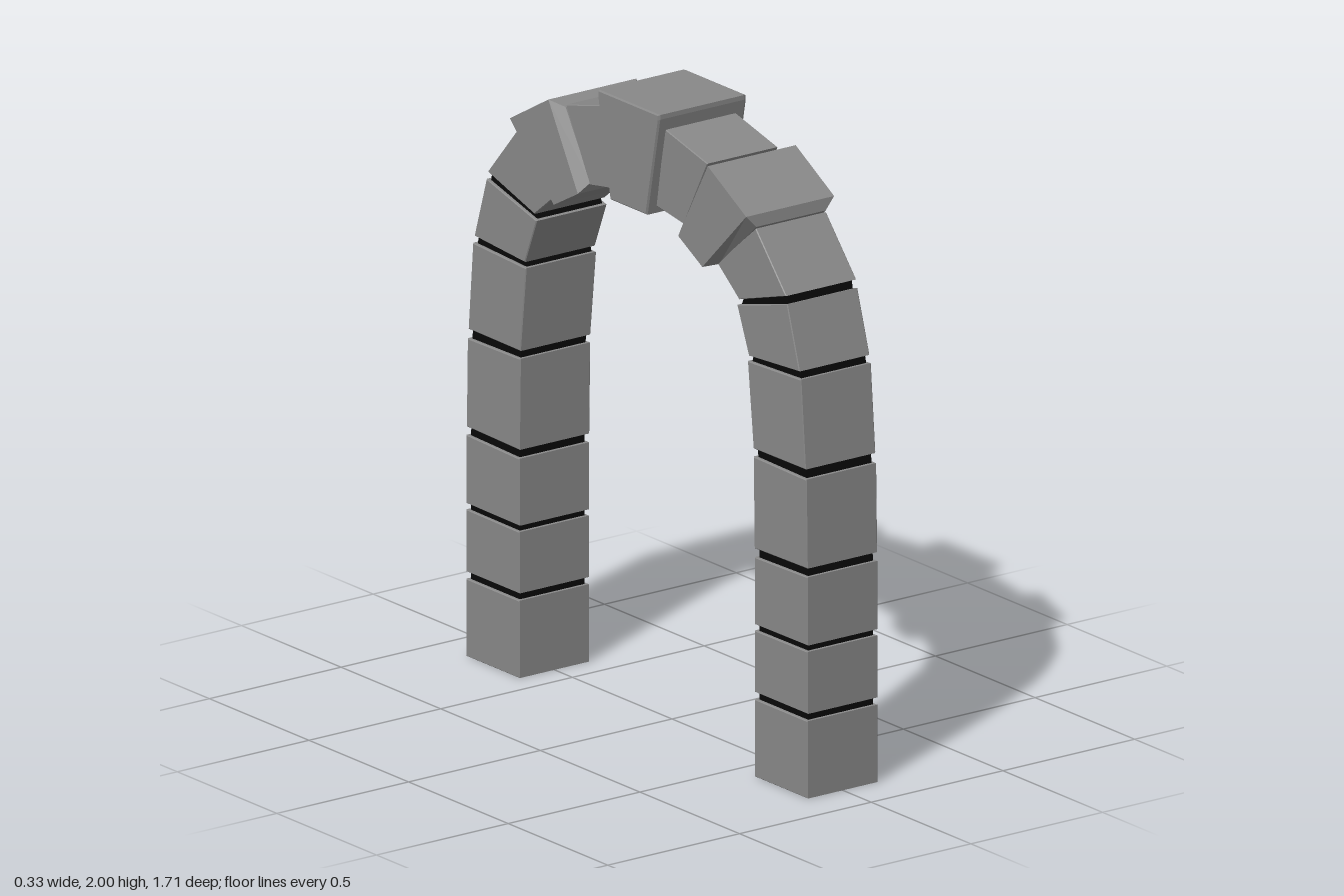
import * as THREE from 'three';

const stone = new THREE.MeshStandardMaterial({ color: 0x888888, flatShading: true });
const dark = new THREE.MeshStandardMaterial({ color: 0x080808, flatShading: true });

const centre = (pts) => [0, 1].map((k) => pts.reduce((s, p) => s + p[k], 0) / pts.length);
const scaled = (pts, f) => {
  const c = centre(pts);
  return pts.map((p) => [c[0] + (p[0] - c[0]) * f, c[1] + (p[1] - c[1]) * f]);
};
const mix = (a, b, t) => [a[0] + (b[0] - a[0]) * t, a[1] + (b[1] - a[1]) * t];

// Skins a row of [x, [[z, y], ...]] sections and closes both ends; side = -1 mirrors z
function loft(name, sections, side = 1, material = stone) {
  let rings = sections.map(([x, pts]) => pts.map(([z, y]) => new THREE.Vector3(x, y, z * side)));
  const r0 = rings[0];
  const n = r0.length;
  let area = 0;
  for (let i = 0; i < n; i++) {
    const a = r0[i], b = r0[(i + 1) % n];
    area += a.y * b.z - b.y * a.z;
  }
  if (area < 0) rings = rings.map((r) => r.slice().reverse());

  const positions = [];
  const tri = (a, b, c) => {
    const cross = b.clone().sub(a).cross(c.clone().sub(a));
    if (cross.length() > 1e-7) for (const p of [a, b, c]) positions.push(p.x, p.y, p.z);
  };
  const middle = (r) => r.reduce((s, p) => s.add(p), new THREE.Vector3()).divideScalar(n);
  const first = rings[0], last = rings[rings.length - 1];
  const c0 = middle(first), c1 = middle(last);
  for (let i = 0; i < n; i++) {
    const j = (i + 1) % n;
    tri(c0, first[j], first[i]);
    tri(c1, last[i], last[j]);
    for (let k = 0; k + 1 < rings.length; k++) {
      tri(rings[k][i], rings[k][j], rings[k + 1][j]);
      tri(rings[k][i], rings[k + 1][j], rings[k + 1][i]);
    }
  }
  const geometry = new THREE.BufferGeometry();
  geometry.setAttribute('position', new THREE.Float32BufferAttribute(positions, 3));
  geometry.computeVertexNormals();
  const mesh = new THREE.Mesh(geometry, material);
  mesh.name = name;
  return mesh;
}

// Plain block with a fine bevel on its two faces
const block = (name, pts, side) => loft(name, [
  [-0.134, scaled(pts, 0.98)], [-0.131, pts], [0.131, pts], [0.134, scaled(pts, 0.98)],
], side);

// Stones of one leg: outer and inner bottom corners, then inner and outer top corners
const courses = [
  [[0.857, 0], [0.59, 0], [0.59, 0.247], [0.857, 0.247]],
  [[0.857, 0.27], [0.59, 0.27], [0.59, 0.466], [0.857, 0.468]],
  [[0.857, 0.488], [0.59, 0.486], [0.59, 0.7], [0.857, 0.706]],
  [[0.855, 0.733], [0.59, 0.728], [0.585, 1.02], [0.85, 1.016]],
  [[0.846, 1.047], [0.585, 1.045], [0.556, 1.317], [0.823, 1.328]],
  [[0.816, 1.352], [0.562, 1.335], [0.503, 1.482], [0.755, 1.55]],
  [[0.749, 1.575], [0.513, 1.502], [0.403, 1.59], [0.597, 1.75]],
];

export function createModel() {
  const arch = new THREE.Group();
  arch.name = 'stoneArch';

  // Central keystone with a sunken panel on its +x face
  const keyOutline = [[0.153, 2], [-0.153, 2], [-0.153, 1.985], [-0.09, 1.665], [0.09, 1.665], [0.153, 1.985]];
  const keyPanel = [[0.084, 1.955], [-0.082, 1.955], [-0.082, 1.95], [-0.05, 1.727], [0.05, 1.727], [0.084, 1.95]];
  const keyFace = scaled(keyOutline, 0.975);
  arch.add(loft('keystone', [
    [-0.167, keyFace], [-0.16, keyOutline], [0.16, keyOutline],
    [0.167, keyFace], [0.167, keyPanel], [0.14, scaled(keyPanel, 0.94)],
  ]));

  // Slanted accent stones: side edges bevelled, panel sunk into the +x face
  const accent = [[0.597, 1.755], [0.593, 1.793], [0.4, 1.904], [0.36, 1.884],
    [0.234, 1.676], [0.252, 1.642], [0.373, 1.575], [0.412, 1.588]];
  const accentFace = [1, 1, 2, 2, 5, 5, 6, 6].map((i) => accent[i]);
  const accentPanel = [[0.541, 1.79], [0.42, 1.85], [0.308, 1.672], [0.403, 1.615]].flatMap((p) => [p, p]);

  // Stone between the accent stone and the keystone
  const linkStone = [[0.355, 1.893], [0.14, 1.947], [0.098, 1.69], [0.235, 1.668]];

  for (const side of [1, -1]) {
    const half = new THREE.Group();
    half.name = side > 0 ? 'frontHalf' : 'backHalf';
    courses.forEach((c, i) => {
      half.add(block('legStone' + (i + 1), c, side));
      const next = courses[i + 1];
      if (!next) return;
      // Dark recessed joint up to the next stone
      const joint = [mix(next[0], next[1], 0.04), mix(next[0], next[1], 0.96),
        mix(c[3], c[2], 0.96), mix(c[3], c[2], 0.04)];
      half.add(loft('mortarJoint' + (i + 1), [[-0.123, joint], [0.123, joint]], side, dark));
    });
    half.add(loft('accentStone', [
      [-0.167, accentFace], [-0.132, accent], [0.132, accent],
      [0.167, accentFace], [0.167, accentPanel], [0.14, scaled(accentPanel, 0.94)],
    ], side));
    half.add(block('linkStone', linkStone, side));
    arch.add(half);
  }
  return arch;
}
